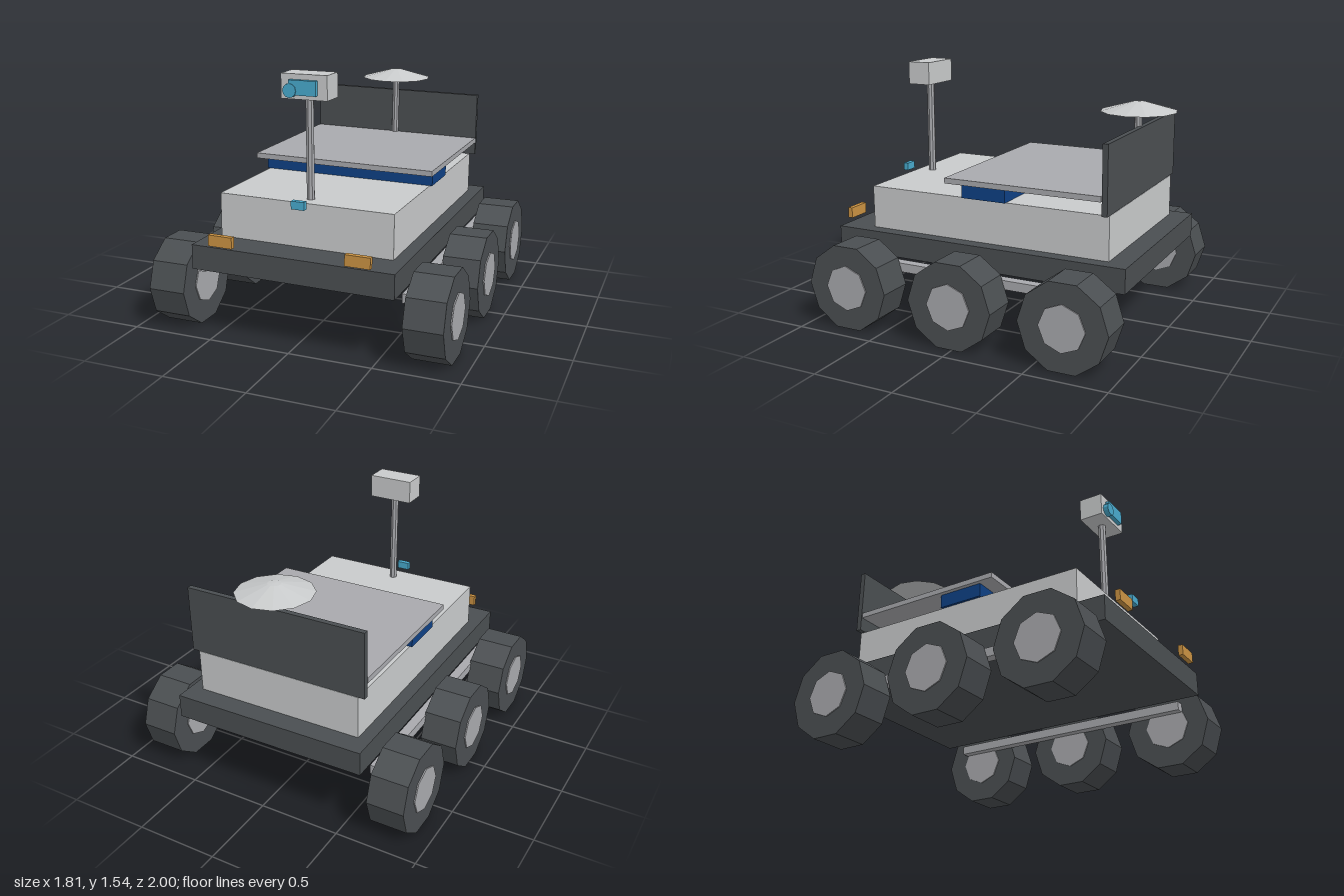
import * as THREE from 'three';

const material = (name, color) => {
  const m = new THREE.MeshStandardMaterial({ color });
  m.name = name;
  return m;
};

// Separate the faces so every facet gets its own normal
const faceted = (geometry) => {
  const g = geometry.index ? geometry.toNonIndexed() : geometry;
  g.computeVertexNormals();
  return g;
};

export function createModel() {
  const light = material('light grey', 0xc8cacb);
  const grey = material('mid grey', 0xa8a9ad);
  const dark = material('charcoal', 0x4a4e51);
  const blue = material('deep blue', 0x0e4084);
  const cyan = material('lens cyan', 0x48a9cc);
  const amber = material('amber', 0xca9242);

  const model = new THREE.Group();
  model.name = 'rover';

  const add = (parent, name, geometry, mat, x, y, z) => {
    const mesh = new THREE.Mesh(geometry, mat);
    mesh.name = name;
    mesh.position.set(x, y, z);
    parent.add(mesh);
    return mesh;
  };

  // Box given by its lower and upper limits on each axis
  const box = (parent, name, mat, [x0, x1], [y0, y1], [z0, z1]) =>
    add(parent, name, new THREE.BoxGeometry(x1 - x0, y1 - y0, z1 - z0), mat,
      (x0 + x1) / 2, (y0 + y1) / 2, (z0 + z1) / 2);

  const cylinder = (r, h, sides) => faceted(new THREE.CylinderGeometry(r, r, h, sides));

  // Upper structure, leaning very slightly to one side about the chassis centre
  const pivotY = 0.475;
  const lean = new THREE.Group();
  lean.name = 'upperStructure';
  lean.position.y = pivotY;
  lean.rotation.z = -0.011;
  model.add(lean);
  const upper = new THREE.Group();
  upper.name = 'hull';
  upper.position.y = -pivotY;
  lean.add(upper);

  box(upper, 'chassis', dark, [-0.615, 0.615], [0.404, 0.55], [-0.935, 0.967]);
  box(upper, 'body', light, [-0.535, 0.535], [0.55, 0.813], [-0.807, 0.76]);
  box(upper, 'battery', blue, [-0.55, 0.55], [0.813, 0.897], [-0.165, 0.12]);
  box(upper, 'deckPanel', grey, [-0.577, 0.577], [0.897, 0.93], [-0.77, 0.22]);
  box(upper, 'rearPanel', dark, [-0.577, 0.577], [0.816, 1.223], [-0.809, -0.776]);
  box(upper, 'frontSensor', cyan, [-0.038, 0.042], [0.801, 0.848], [0.828, 0.86]);

  for (const side of [-1, 1]) {
    const label = side > 0 ? 'left' : 'right';
    const span = (a, b) => [Math.min(side * a, side * b), Math.max(side * a, side * b)];
    box(upper, label + 'Headlight', amber, span(0.34, 0.488), [0.568, 0.634], [0.968, 0.998]);
    box(upper, label + 'SuspensionBeam', grey, span(0.612, 0.672), [0.337, 0.392], [-0.81, 0.83]);
  }

  // Dish aerial behind the deck
  add(upper, 'dishPost', cylinder(0.023, 0.5, 8), grey, 0, 1.08, -0.768);
  const profile = [[0, 0], [0.228, 0], [0.04, 0.054], [0, 0.057]]
    .map(([r, y]) => new THREE.Vector2(r, y));
  add(upper, 'dish', faceted(new THREE.LatheGeometry(profile, 12)), light, 0, 1.312, -0.77);

  // Camera mast
  add(model, 'mast', cylinder(0.024, 0.6, 8), grey, 0, 1.108, 0.665);
  box(model, 'cameraHead', light, [-0.14, 0.138], [1.396, 1.537], [0.59, 0.738]);
  box(model, 'cameraWindow', cyan, [-0.083, 0.08], [1.422, 1.506], [0.735, 0.765]);
  const lens = add(model, 'cameraLens', cylinder(0.04, 0.034, 12), cyan, -0.077, 1.447, 0.753);
  lens.rotation.x = Math.PI / 2;

  // Six ten-sided wheels with eight-sided hubs showing on both faces
  const tyre = cylinder(0.27, 0.229, 10);
  const hub = cylinder(0.14, 0.243, 8);
  for (const side of [-1, 1]) {
    for (const [place, z] of [['front', 0.724], ['middle', 0.021], ['rear', -0.686]]) {
      const wheel = new THREE.Group();
      wheel.name = place + (side > 0 ? 'Left' : 'Right') + 'Wheel';
      wheel.position.set(side * 0.782, 0.257, z);
      wheel.rotation.z = Math.PI / 2;
      add(wheel, 'tyre', tyre, dark, 0, 0, 0);
      add(wheel, 'hub', hub, grey, 0, 0, 0);
      model.add(wheel);
    }
  }

  return model;
}
